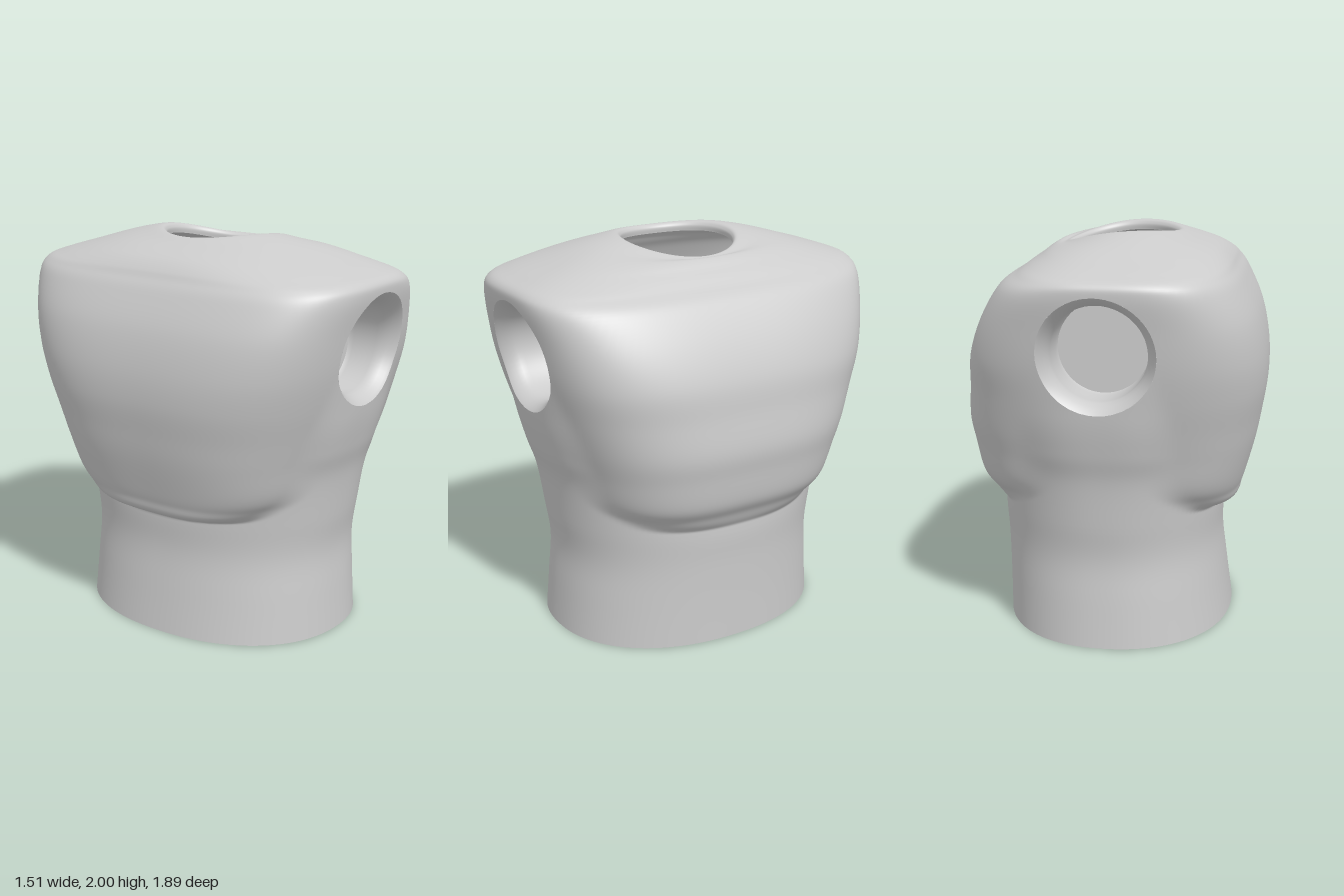
import * as THREE from 'three';

const SEG = 144, SUB = 7;      // points per ring, rings between two profile rows
const HOLE_Y = 1.49, HOLE_R = 0.28, END_Z = 0.62;

// Upper body and neck opening: y, reach to -x, reach to +x, half width in z, roundness
const CHEST = smooth([
  [0, 0.10, 0.10, 0.10, 2], [0.30, 0.12, 0.12, 0.10, 2], [0.52, 0.25, 0.25, 0.15, 2],
  [0.60, 0.47, 0.47, 0.35, 2.6], [0.65, 0.61, 0.60, 0.52, 3], [0.72, 0.64, 0.65, 0.62, 3],
  [0.80, 0.665, 0.70, 0.68, 3], [0.95, 0.705, 0.73, 0.73, 3], [1.08, 0.73, 0.75, 0.775, 3],
  [1.25, 0.755, 0.735, 0.83, 3.1], [1.42, 0.75, 0.715, 0.875, 3.3], [1.60, 0.71, 0.645, 0.91, 3.5],
  [1.76, 0.635, 0.545, 0.942, 3.5], [1.825, 0.59, 0.455, 0.93, 3.3], [1.86, 0.565, 0.41, 0.85, 3],
  [1.90, 0.52, 0.355, 0.72, 2.7], [1.95, 0.44, 0.31, 0.55, 2.4], [1.98, 0.37, 0.29, 0.42, 2.2],
  [1.995, 0.31, 0.27, 0.32, 2], [1.975, 0.28, 0.25, 0.29, 2], [1.945, 0.28, 0.25, 0.29, 2],
]);

// Waist column that runs up under the arms, same columns
const WAIST = smooth([
  [0, 0.59, 0.58, 0.73, 2.2], [0.22, 0.56, 0.583, 0.715, 2.2], [0.43, 0.535, 0.59, 0.703, 2.2],
  [0.62, 0.54, 0.60, 0.73, 2.2], [0.85, 0.53, 0.58, 0.765, 2.4], [1.0, 0.51, 0.55, 0.81, 2.7],
  [1.2, 0.49, 0.52, 0.855, 3], [1.45, 0.45, 0.45, 0.88, 3], [1.65, 0.35, 0.35, 0.82, 2.5],
  [1.8, 0.15, 0.15, 0.3, 2], [2.1, 0.1, 0.1, 0.1, 2],
]);

// Fills a table with rows along a smooth curve through its rows
function smooth(table) {
  const out = [], last = table.length - 1;
  for (let i = 0; i < last; i++) {
    const [p, q, r, s] = [-1, 0, 1, 2].map((o) => table[Math.min(Math.max(i + o, 0), last)]);
    for (let k = 0; k < SUB; k++) {
      const t = k / SUB;
      out.push(q.map((v, c) => v + 0.5 * t * (r[c] - p[c]
        + t * (2 * p[c] - 5 * v + 4 * r[c] - s[c] + t * (3 * (v - r[c]) + s[c] - p[c])))));
    }
  }
  out.push(table[last]);
  return out;
}

function lookup(table, y) {
  let i = 0;
  while (i < table.length - 2 && table[i + 1][0] < y) i++;
  const t = (y - table[i][0]) / (table[i + 1][0] - table[i][0]);
  return table[i].map((v, c) => v + (table[i + 1][c] - v) * t);
}

// Distance from the axis to a rounded oval with different -x and +x reaches
function oval(a, [, back, front, half, n]) {
  const c = Math.cos(a), s = Math.sin(a);
  return (Math.abs(c / (c < 0 ? back : front)) ** n + Math.abs(s / half) ** n) ** (-1 / n);
}

// Soft union of a chest row and a waist row
function radius(a, chest, waist) {
  const p = oval(a, chest), q = oval(a, waist);
  const k = 0.04, h = Math.max(k - Math.abs(p - q), 0) / k;
  return Math.max(p, q) + h * h * k * 0.25;
}

// Depth of the flank at a given x and y
function flankZ(x, y) {
  const chest = lookup(CHEST, y), waist = lookup(WAIST, y);
  let z = 0.88;
  for (let i = 0; i < 10; i++) {
    const r = radius(Math.atan2(z, x), chest, waist);
    z = Math.sqrt(Math.max(r * r - x * x, 0.01));
  }
  return z;
}

function makeGeometry(points, index) {
  const g = new THREE.BufferGeometry();
  g.setAttribute('position', new THREE.Float32BufferAttribute(points, 3));
  g.setIndex(index);
  g.computeVertexNormals();
  return g;
}

// Rings from the open waist to the neck, with a round opening on each flank
function bodyGeometry() {
  const points = [], inside = [], index = [], last = CHEST.length - 1;
  CHEST.forEach((row, i) => {
    const waist = lookup(WAIST, row[0]);
    // the neck rings lean towards +x and sag at both ends
    const lean = THREE.MathUtils.smoothstep(i, last - 5 * SUB, last - 2 * SUB);
    for (let j = 0; j < SEG; j++) {
      const a = (j / SEG) * Math.PI * 2, r = radius(a, row, waist);
      let x = r * Math.cos(a), z = r * Math.sin(a), y = row[0] - lean * (0.12 * x + 0.5 * x * x);
      const d = Math.hypot(x, y - HOLE_Y);
      const hit = Math.abs(z) > 0.6 && d < HOLE_R;
      if (hit) {  // push onto the edge of the arm opening
        const f = HOLE_R / Math.max(d, 1e-4);
        x *= f;
        y = HOLE_Y + (y - HOLE_Y) * f;
        z = Math.sign(z) * flankZ(x, y);
      }
      points.push(x, y, z);
      inside.push(hit);
    }
  });
  for (let i = 0; i < last; i++) {
    for (let j = 0; j < SEG; j++) {
      const a = i * SEG + j, b = i * SEG + (j + 1) % SEG, c = a + SEG, d = b + SEG;
      for (const t of [[a, c, b], [b, c, d]]) if (!t.every((v) => inside[v])) index.push(...t);
    }
  }
  return makeGeometry(points, index);
}

// Funnel and tube of one arm opening: radius and share of the way from the rim to the end
function socketGeometry() {
  const N = 56, points = [], index = [];
  const rings = [[HOLE_R, 0], [0.266, 0.05], [0.246, 0.16], [0.233, 0.28], [0.23, 0.4], [0.23, 0.9], [0.222, 1]];
  rings.forEach(([r, t], i) => {
    for (let j = 0; j < N; j++) {
      const a = (j / N) * Math.PI * 2, c = Math.cos(a), s = Math.sin(a);
      const rim = flankZ(HOLE_R * c, HOLE_Y + HOLE_R * s);
      points.push(r * c, HOLE_Y + r * s, rim + (END_Z - rim) * t);
      if (i < rings.length - 1) {
        const p = i * N + j, q = i * N + (j + 1) % N;
        index.push(p, q, p + N, q, q + N, p + N);
      }
    }
  });
  return makeGeometry(points, index);
}

export function createModel() {
  const group = new THREE.Group();
  group.name = 'torso';
  const material = new THREE.MeshStandardMaterial({ color: 0xcccccc, side: THREE.DoubleSide });

  const body = new THREE.Mesh(bodyGeometry(), material);
  body.name = 'body';
  group.add(body);

  const tube = socketGeometry(), disc = new THREE.CircleGeometry(0.222, 56);
  for (const side of [1, -1]) {
    const socket = new THREE.Group();
    socket.name = side > 0 ? 'frontArmSocket' : 'backArmSocket';
    const wall = new THREE.Mesh(tube, material);
    wall.name = 'socketWall';
    const end = new THREE.Mesh(disc, material);
    end.name = 'socketEnd';
    end.position.set(0, HOLE_Y, END_Z);
    socket.add(wall, end);
    socket.scale.z = side;
    group.add(socket);
  }
  return group;
}
